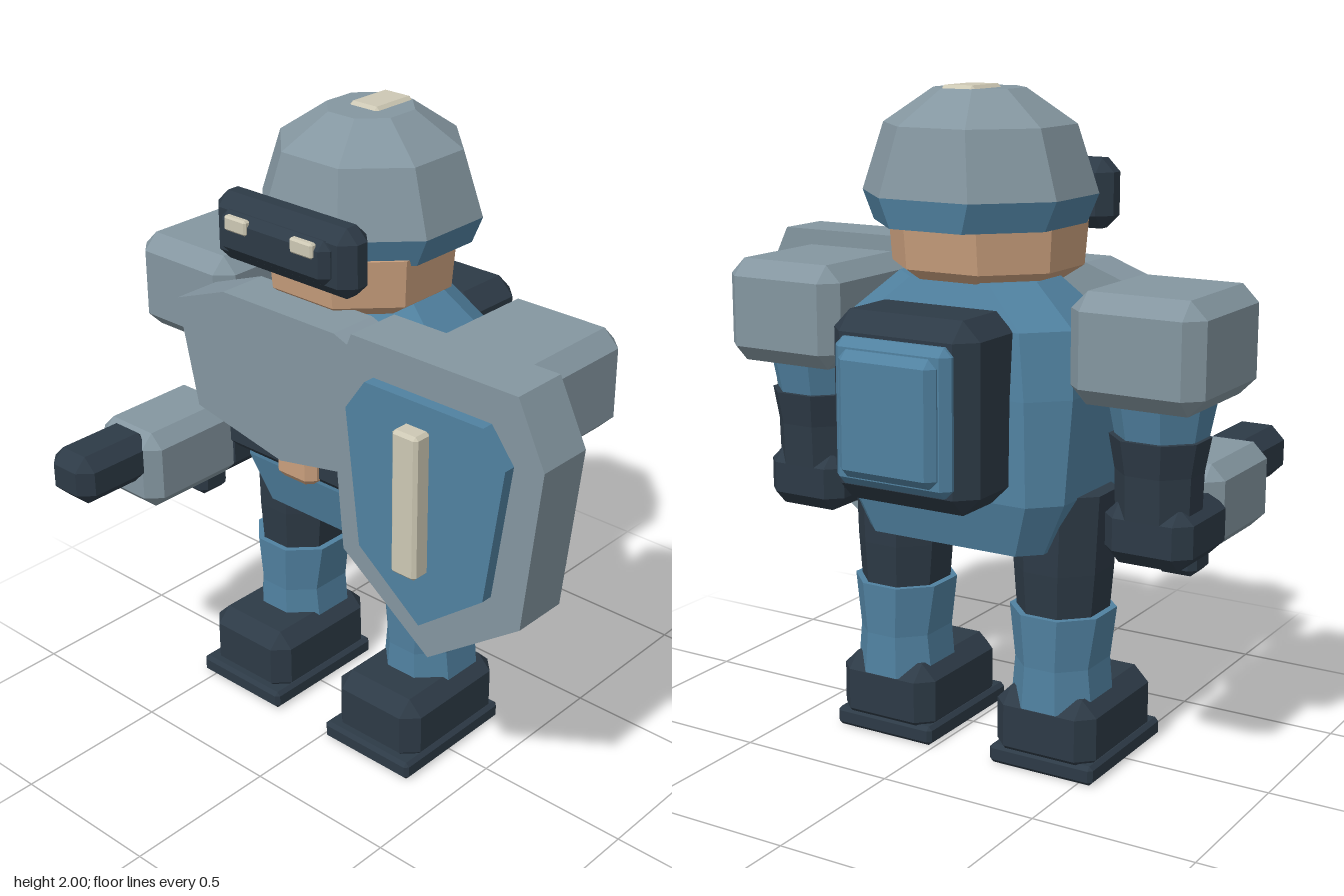
import * as THREE from 'three';

const paint = (name, color) => {
  const m = new THREE.MeshStandardMaterial({ color });
  m.name = name;
  return m;
};

// Stacks eight-cornered rings [y, halfX, halfZ, cornerCut] into a closed faceted solid.
function loft(levels) {
  const rings = levels.map(([y, hx, hz, c = 0.586 * Math.min(hx, hz)]) => [
    [hx, y, hz - c], [hx - c, y, hz], [c - hx, y, hz], [-hx, y, hz - c],
    [-hx, y, c - hz], [c - hx, y, -hz], [hx - c, y, -hz], [hx, y, c - hz],
  ]);
  const out = [];
  const last = rings.length - 1;
  const low = [0, levels[0][0], 0];
  const high = [0, levels[last][0], 0];
  for (let i = 0; i < 8; i++) {
    const j = (i + 1) % 8;
    for (let k = 0; k < last; k++) {
      const a = rings[k], b = rings[k + 1];
      out.push(...a[i], ...b[i], ...b[j], ...a[i], ...b[j], ...a[j]);
    }
    out.push(...low, ...rings[0][i], ...rings[0][j]);
    out.push(...high, ...rings[last][j], ...rings[last][i]);
  }
  const g = new THREE.BufferGeometry();
  g.setAttribute('position', new THREE.Float32BufferAttribute(out, 3));
  g.computeVertexNormals();
  return g;
}

// Box with every edge chamfered by b, given by its limits.
function block([x0, x1], [y0, y1], [z0, z1], b) {
  const hx = (x1 - x0) / 2, hy = (y1 - y0) / 2, hz = (z1 - z0) / 2;
  const g = loft([
    [-hy, hx - b, hz - b, 0], [b - hy, hx, hz, b],
    [hy - b, hx, hz, b], [hy, hx - b, hz - b, 0],
  ]);
  return g.translate((x0 + x1) / 2, (y0 + y1) / 2, (z0 + z1) / 2);
}

function plate(points, z0, z1) {
  const shape = new THREE.Shape(points.map(([x, y]) => new THREE.Vector2(x, y)));
  return new THREE.ExtrudeGeometry(shape, { depth: z1 - z0, bevelEnabled: false }).translate(0, 0, z0);
}

export function createModel() {
  const grey = paint('armourGrey', 0x8496a0);
  const blue = paint('uniformBlue', 0x5081a0);
  const dark = paint('darkGear', 0x2d3a46);
  const skin = paint('skinTan', 0xc99f7d);
  const cream = paint('creamLight', 0xcdc8b4);

  const model = new THREE.Group();
  model.name = 'armouredGuard';
  // The body's centre line; the shield widens the left side.
  const body = new THREE.Group();
  body.name = 'body';
  body.position.x = -0.095;
  model.add(body);

  const add = (parent, name, geometry, material, x = 0, z = 0) => {
    const mesh = new THREE.Mesh(geometry, material);
    mesh.name = name;
    mesh.position.set(x, 0, z);
    parent.add(mesh);
    return mesh;
  };

  // Head and helmet
  add(body, 'head', loft([[1.44, 0.2, 0.2], [1.485, 0.265, 0.25], [1.63, 0.275, 0.265]]), skin, 0, -0.075);
  add(body, 'helmetBand', loft([[1.61, 0.285, 0.29], [1.695, 0.322, 0.302]]), blue, 0, -0.12);
  add(body, 'helmetDome', loft([[1.695, 0.322, 0.302], [1.89, 0.26, 0.257], [1.99, 0.122, 0.125]]), grey, 0, -0.12);
  add(body, 'helmetLamp', block([-0.06, 0.06], [1.96, 2.0], [-0.25, -0.08], 0.015), cream);

  // Visor
  add(body, 'visor', block([-0.27, 0.27], [1.567, 1.775], [0.155, 0.275], 0.04), dark);
  add(body, 'visorPanel', block([-0.21, 0.21], [1.61, 1.74], [0.25, 0.305], 0.025), dark);
  for (const s of [-1, 1]) {
    add(body, 'visorLight', block([s * 0.128 - 0.043, s * 0.128 + 0.043], [1.69, 1.735], [0.29, 0.315], 0.006), cream);
  }

  // Torso, chest armour and belt
  add(body, 'torso', loft([
    [0.69, 0.3, 0.2, 0.06], [0.85, 0.375, 0.24, 0.08], [1.15, 0.385, 0.235, 0.1],
    [1.34, 0.37, 0.22, 0.11], [1.46, 0.23, 0.17, 0.1],
  ]), blue, 0, -0.12);
  add(body, 'chestPlate', plate([
    [0, 0.995], [0.345, 1.065], [0.42, 1.4], [0.22, 1.475],
    [-0.22, 1.475], [-0.42, 1.4], [-0.345, 1.065],
  ], 0.12, 0.28), grey);
  add(body, 'belt', block([-0.325, 0.325], [0.9, 1.05], [0.02, 0.2], 0.03), dark);
  add(body, 'buckle', loft([[0.905, 0.06, 0.03], [0.925, 0.08, 0.045], [1.02, 0.08, 0.045], [1.04, 0.06, 0.03]]), skin, 0, 0.19);

  // Backpack
  add(body, 'backpack', block([-0.24, 0.24], [0.85, 1.395], [-0.565, -0.28], 0.055), dark);
  add(body, 'backpackPocket', block([-0.19, 0.19], [0.91, 1.33], [-0.6, -0.54], 0.025), blue);
  add(body, 'backpackFlap', block([-0.16, 0.16], [0.94, 1.3], [-0.63, -0.57], 0.025), blue);

  // Mirrored arms and legs
  for (const s of [-1, 1]) {
    const arm = new THREE.Group();
    arm.name = s > 0 ? 'leftArm' : 'rightArm';
    arm.position.x = s * 0.59;
    body.add(arm);
    add(arm, 'shoulderPad', block([-0.203, 0.203], [1.15, 1.465], [-0.325, 0.117], 0.05), grey);
    add(arm, 'upperArm', loft([[1.0, 0.115, 0.11], [1.17, 0.145, 0.145]]), blue, 0, -0.11);
    add(arm, 'forearm', loft([[0.82, 0.115, 0.105], [0.95, 0.118, 0.11], [1.05, 0.135, 0.125]]), dark, 0, -0.12);
    add(arm, 'hand', block([-0.137, 0.137], [0.68, 0.865], [-0.225, 0.08], 0.045), dark);

    const leg = new THREE.Group();
    leg.name = s > 0 ? 'leftLeg' : 'rightLeg';
    leg.position.x = s * 0.278;
    body.add(leg);
    add(leg, 'thigh', loft([[0.44, 0.12, 0.13], [0.62, 0.135, 0.14], [0.855, 0.145, 0.14]]), dark, 0, -0.1);
    add(leg, 'shin', loft([[0.2, 0.135, 0.148], [0.33, 0.122, 0.142], [0.49, 0.145, 0.15]]), blue, 0, -0.1);
    add(leg, 'boot', block([-0.167, 0.167], [0.02, 0.245], [-0.245, 0.19], 0.048), dark);
    add(leg, 'sole', block([-0.174, 0.174], [0, 0.06], [-0.24, 0.217], 0.012), dark);
  }

  // Hand blaster
  const blaster = new THREE.Group();
  blaster.name = 'blaster';
  blaster.position.x = -0.68;
  model.add(blaster);
  add(blaster, 'blasterBody', block([-0.134, 0.134], [0.68, 0.94], [0, 0.395], 0.045), grey);
  add(blaster, 'blasterBarrel', block([-0.092, 0.092], [0.775, 0.937], [0.33, 0.63], 0.042), dark);
  add(blaster, 'blasterGrip', block([-0.065, 0.065], [0.603, 0.76], [0.0, 0.12], 0.02), dark);

  // Shield
  const shield = new THREE.Group();
  shield.name = 'shield';
  shield.position.x = 0.5;
  model.add(shield);
  add(shield, 'shieldBoard', plate([
    [0, 0.575], [0.322, 0.81], [0.378, 1.315], [0.285, 1.505],
    [-0.292, 1.505], [-0.37, 1.315], [-0.325, 0.81],
  ], 0.12, 0.3), grey);
  add(shield, 'shieldPanel', plate([
    [-0.005, 0.7], [0.22, 0.875], [0.28, 1.3], [0.203, 1.4],
    [-0.21, 1.4], [-0.28, 1.3], [-0.23, 0.875],
  ], 0.29, 0.337), blue);
  add(shield, 'shieldBar', block([-0.05, 0.04], [0.895, 1.34], [0.348, 0.412], 0.01), cream);

  return model;
}
